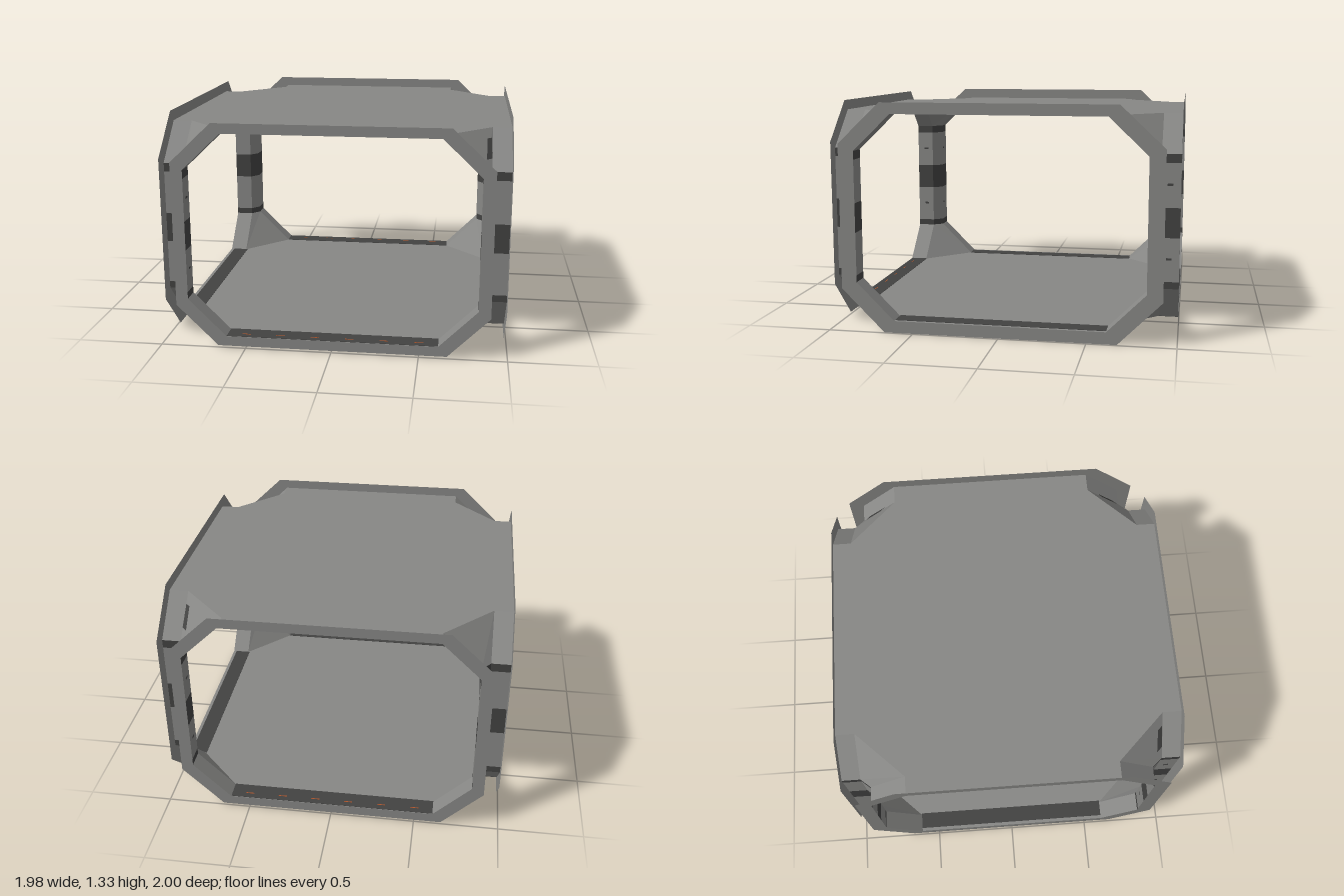
import * as THREE from 'three';

const material = (name, color) => new THREE.MeshStandardMaterial({ name, color, side: THREE.DoubleSide });

export function createModel() {
  const grey = material('panel grey', 0x878785);
  const dark = material('dark trim', 0x424241);
  const orange = material('orange marker', 0xb0562c);
  const model = new THREE.Group();
  model.name = 'openCornerModule';

  const FLOOR = 0.07, CEILING = 1.26, MIDDLE = (FLOOR + CEILING) / 2;

  function add(name, geometry, mat, parent = model) {
    const mesh = new THREE.Mesh(geometry, mat);
    mesh.name = name;
    parent.add(mesh);
    return mesh;
  }

  // Flat four-cornered panel
  function quad(name, corners, mat, parent) {
    const geometry = new THREE.BufferGeometry();
    const points = [0, 1, 2, 0, 2, 3].flatMap((i) => corners[i]);
    geometry.setAttribute('position', new THREE.Float32BufferAttribute(points, 3));
    geometry.computeVertexNormals();
    return add(name, geometry, mat, parent);
  }

  // Eight-sided outline: half width w, half width of flat edge f, straight sides from a to b
  const octagon = (w, f, low, a, b, high) =>
    [[-f, low], [f, low], [w, a], [w, b], [f, high], [-f, high], [-w, b], [-w, a]]
      .map(([x, y]) => new THREE.Vector2(x, y));

  // Thin flanges around the four openings
  const flanges = [
    ['frontFlange', 0, 1, 0.9, 0.66, 0.012, 1.318],
    ['backFlange', Math.PI, 1, 0.9, 0.66, 0.012, 1.318],
    ['leftFlange', Math.PI / 2, 0.99, 0.92, 0.67, 0, 1.325],
    ['rightFlange', -Math.PI / 2, 0.99, 0.92, 0.67, 0, 1.325],
  ];
  for (const [name, turn, distance, w, f, low, high] of flanges) {
    const shape = new THREE.Shape(octagon(w, f, low, 0.25, 1.09, high));
    shape.holes.push(new THREE.Path(octagon(0.83, 0.61, FLOOR, 0.29, 1.05, CEILING).reverse()));
    const ring = new THREE.ShapeGeometry(shape);
    ring.translate(0, 0, distance);
    ring.rotateY(turn);
    add(name, ring, grey);
  }

  // Floor and ceiling sheets with cut corners
  const quarter = [[0.99, 0.61], [0.88, 0.61], [0.61, 0.89], [0.61, 1]];
  const plan = [];
  for (const [sx, sz] of [[1, 1], [-1, 1], [-1, -1], [1, -1]]) {
    const points = quarter.map(([x, z]) => new THREE.Vector2(x * sx, z * sz));
    plan.push(...(sx * sz > 0 ? points : points.reverse()));
  }
  for (const [name, y] of [['floor', FLOOR], ['ceiling', CEILING]]) {
    const sheet = new THREE.ShapeGeometry(new THREE.Shape(plan));
    sheet.rotateX(-Math.PI / 2);
    sheet.translate(0, y, 0);
    add(name, sheet, grey);
  }

  // Corner posts: folded sheet with dark bands, and sloping panels above and below
  const fold = [[0.83, 1], [0.83, 0.89], [0.88, 0.83], [0.99, 0.83]];
  const bands = [0.29, 0.33, 0.58, 0.75, 1.0, 1.05];
  for (const sx of [-1, 1]) for (const sz of [-1, 1]) {
    const corner = new THREE.Group();
    corner.name = (sz > 0 ? 'front' : 'back') + (sx > 0 ? 'Left' : 'Right') + 'Corner';
    model.add(corner);
    const at = ([x, z], y) => [x * sx, y, z * sz];
    for (let i = 0; i < 3; i++) {
      const p = fold[i], q = fold[i + 1];
      for (let j = 0; j < 5; j++) {
        const lo = bands[j], hi = bands[j + 1];
        quad(j % 2 ? 'postPanel' : 'postBand', [at(p, lo), at(q, lo), at(q, hi), at(p, hi)],
          j % 2 ? grey : dark, corner);
      }
      const inner = [...quarter].reverse();
      for (const [name, edge, flat] of [['lowerSlope', 0.29, FLOOR], ['upperSlope', 1.05, CEILING]]) {
        quad(name, [at(p, edge), at(q, edge), at(inner[i + 1], flat), at(inner[i], flat)], grey, corner);
      }
    }
  }

  // Narrow dark slots on some of the corner slopes
  function slot(sx, sz, up, besideSide) {
    const near = besideSide ? [0.88, 0.83, 0.88, 0.61] : [0.83, 0.89, 0.61, 0.89];
    const far = besideSide ? [0.83, 0.89, 0.61, 0.89] : [0.88, 0.83, 0.88, 0.61];
    const point = (along, across) => {
      const mix = (k) => {
        const a = THREE.MathUtils.lerp(near[k], near[k + 2], along);
        const b = THREE.MathUtils.lerp(far[k], far[k + 2], along);
        return THREE.MathUtils.lerp(a, b, across);
      };
      const y = THREE.MathUtils.lerp(1.05, CEILING, along) + 0.005;
      return [(mix(0) + 0.004) * sx, up ? y : 2 * MIDDLE - y, (mix(1) + 0.004) * sz];
    };
    quad('slopeSlot', [point(0.28, 0.06), point(0.28, 0.32), point(0.75, 0.16), point(0.75, 0.04)], dark);
  }
  slot(1, 1, true, true);
  slot(1, -1, true, true);
  slot(-1, 1, true, false);
  slot(-1, 1, false, true);
  slot(1, -1, false, true);

  // Small latches on two opposite posts
  for (const s of [-1, 1]) for (const y of [0.46, 0.88]) {
    const sideLatch = add('latch', new THREE.BoxGeometry(0.03, 0.012, 0.006), dark);
    sideLatch.position.set(0.915 * s, y, -0.832 * s);
    const endLatch = add('latch', new THREE.BoxGeometry(0.006, 0.012, 0.03), dark);
    endLatch.position.set(0.832 * s, y, -0.94 * s);
  }

  // Dark threshold strips along the floor edges, with slim orange markers
  for (const s of [-1, 1]) {
    const endStrip = add('endThreshold', new THREE.BoxGeometry(1.22, 0.004, 0.11), dark);
    endStrip.position.set(0, FLOOR, 0.942 * s);
    const sideStrip = add('sideThreshold', new THREE.BoxGeometry(0.1, 0.004, 1.22), dark);
    sideStrip.position.set(0.92 * s, FLOOR, 0);
    for (let i = 0; i < 6; i++) {
      const marker = add('thresholdMarker', new THREE.BoxGeometry(0.05, 0.006, 0.006), orange);
      marker.position.set(-0.5 + i * 0.2, FLOOR, 0.96 * s);
    }
  }
  return model;
}
